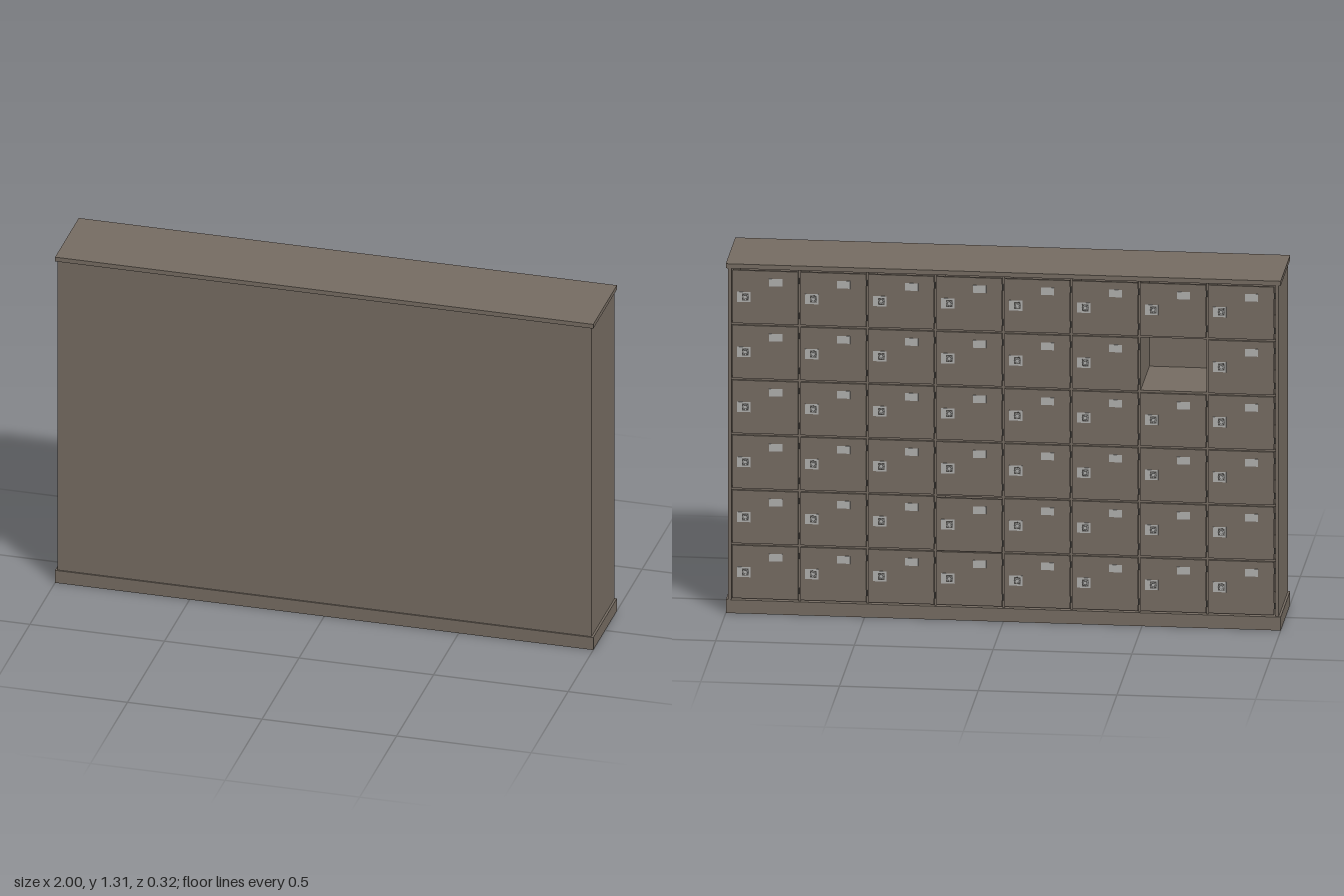
import * as THREE from 'three';

const COLS = 8, ROWS = 6;
const X0 = 0.98, Y0 = 0.052, Y1 = 1.29;
const PW = (2 * X0) / COLS, PH = (Y1 - Y0) / ROWS;

export function createModel() {
  const steel = new THREE.MeshStandardMaterial({ color: 0x766c62 });
  steel.name = 'taupe steel';
  const silver = new THREE.MeshStandardMaterial({ color: 0xb0b0ae });
  silver.name = 'light metal';
  const dark = new THREE.MeshStandardMaterial({ color: 0x55524e });
  dark.name = 'dark metal';

  const root = new THREE.Group();
  root.name = 'lockerBank';

  // box given by its limits on each axis
  const box = (parent, name, mat, x0, x1, y0, y1, z0, z1) => {
    const mesh = new THREE.Mesh(new THREE.BoxGeometry(x1 - x0, y1 - y0, z1 - z0), mat);
    mesh.position.set((x0 + x1) / 2, (y0 + y1) / 2, (z0 + z1) / 2);
    mesh.name = name;
    parent.add(mesh);
    return mesh;
  };

  // outer shell
  box(root, 'plinth', steel, -1, 1, 0, 0.05, -0.16, 0.16);
  box(root, 'topSlab', steel, -1, 1, 1.293, 1.31, -0.16, 0.16);
  box(root, 'closedPanel', steel, -0.98, 0.98, 0.05, 1.293, 0.145, 0.155);
  for (const s of [-1, 1]) {
    box(root, 'sidePanel', steel, Math.min(s * 0.98, s * 0.992), Math.max(s * 0.98, s * 0.992),
      0.05, 1.293, -0.155, 0.155);
  }

  // inner dividers and shelves, set back behind the door faces
  for (let c = 1; c < COLS; c++) {
    const x = -X0 + c * PW;
    box(root, 'divider', steel, x - 0.004, x + 0.004, 0.05, 1.293, -0.148, 0.145);
  }
  for (let r = 1; r < ROWS; r++) {
    const y = Y0 + r * PH;
    box(root, 'shelf', steel, -X0, X0, y - 0.004, y + 0.004, -0.148, 0.145);
  }

  const ringGeo = new THREE.TorusGeometry(0.009, 0.002, 6, 16);
  const knobGeo = new THREE.CylinderGeometry(0.006, 0.006, 0.004, 16).rotateX(Math.PI / 2);
  const hingeGeo = new THREE.CylinderGeometry(0.003, 0.003, 0.022, 8);

  // one door with its latch, name card and hinges
  const makeDoor = (w, h) => {
    const door = new THREE.Group();
    door.name = 'door';
    box(door, 'doorPanel', steel, -w / 2, w / 2, -h / 2, h / 2, -0.157, -0.147);

    const lx = w / 2 - 0.04;
    box(door, 'latchPlate', silver, lx - 0.024, lx + 0.024, -0.019, 0.019, -0.1585, -0.157);
    box(door, 'latchRecess', dark, lx - 0.018, lx + 0.006, -0.013, 0.013, -0.159, -0.1585);
    const ring = new THREE.Mesh(ringGeo, silver);
    ring.name = 'latchRing';
    ring.position.set(lx - 0.006, 0, -0.159);
    ring.scale.z = 0.5;
    const knob = new THREE.Mesh(knobGeo, silver);
    knob.name = 'latchKnob';
    knob.position.set(lx - 0.006, 0, -0.158);
    door.add(ring, knob);

    const cx = w / 2 - 0.155, cy = h / 2 - 0.042;
    box(door, 'cardHolder', silver, cx - 0.024, cx + 0.024, cy - 0.014, cy + 0.014, -0.1585, -0.157);

    for (const s of [-1, 1]) {
      const hinge = new THREE.Mesh(hingeGeo, dark);
      hinge.name = 'hinge';
      hinge.position.set(-w / 2 - 0.002, s * h * 0.33, -0.154);
      door.add(hinge);
    }
    return door;
  };

  // grid of doors; one compartment is left open, one door sits slightly low
  const proto = makeDoor(PW - 0.009, PH - 0.008);
  for (let c = 0; c < COLS; c++) {
    for (let r = 0; r < ROWS; r++) {
      if (c === 1 && r === 4) continue;
      const door = proto.clone();
      const sag = c === 4 && r === 1 ? 0.004 : 0;
      door.position.set(-X0 + (c + 0.5) * PW, Y0 + (r + 0.5) * PH - sag, 0);
      root.add(door);
    }
  }
  return root;
}
